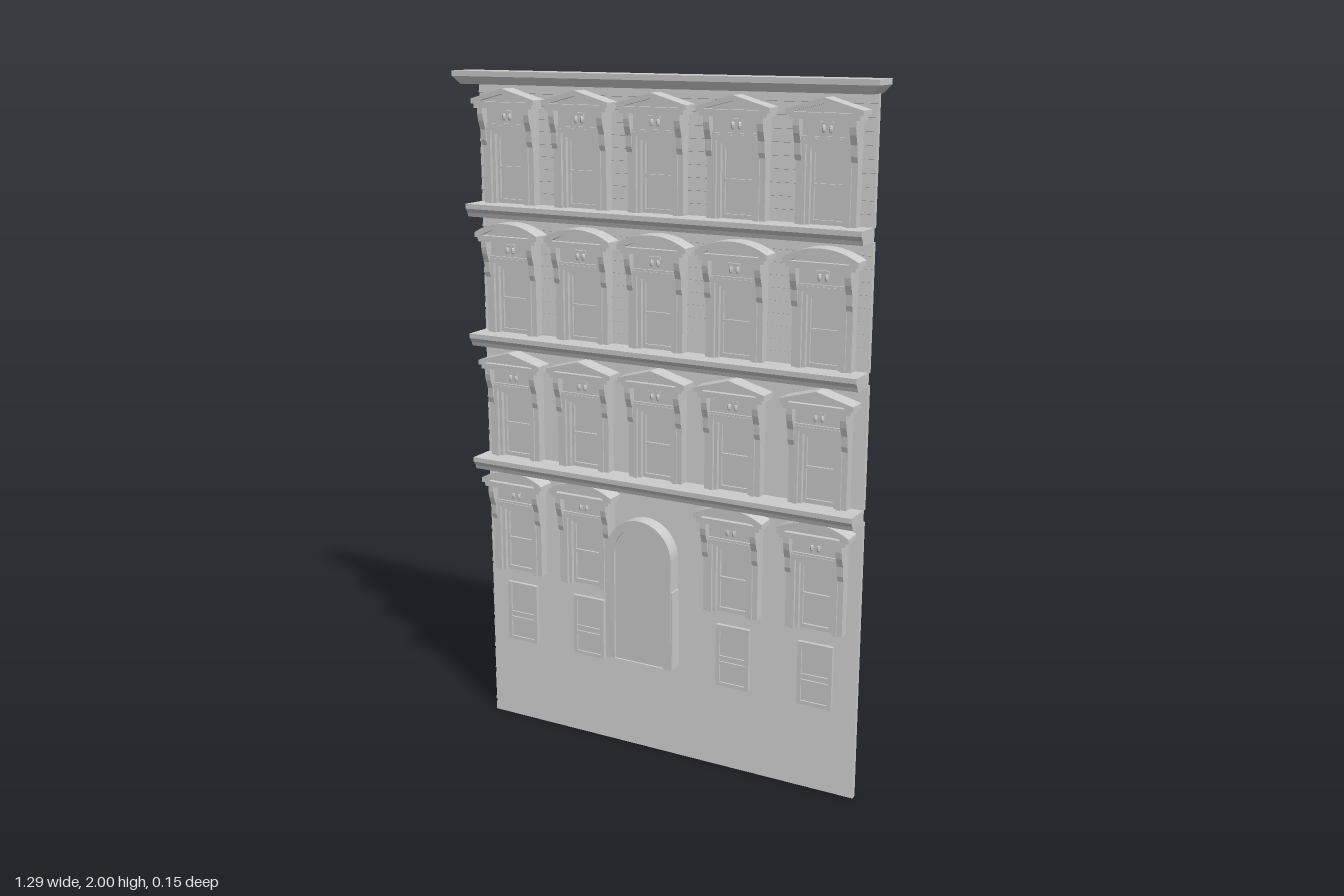
import * as THREE from 'three';

const material = new THREE.MeshStandardMaterial({ color: 0xcccccc, flatShading: true });
const BACK = -0.075, WALL = -0.058, LEFT = -0.613, RIGHT = 0.61;

function add(parent, name, geometry) {
  const mesh = new THREE.Mesh(geometry, material);
  mesh.name = name;
  parent.add(mesh);
  return mesh;
}

// Box given by its limits on each axis
function box(parent, name, x0, x1, y0, y1, z0, z1) {
  const g = new THREE.BoxGeometry(x1 - x0, y1 - y0, z1 - z0);
  g.translate((x0 + x1) / 2, (y0 + y1) / 2, (z0 + z1) / 2);
  return add(parent, name, g);
}

// Side profile of [z, y] points swept along x
function sweepX(parent, name, points, x0, x1) {
  const shape = new THREE.Shape(points.map(([z, y]) => new THREE.Vector2(z, y)));
  const g = new THREE.ExtrudeGeometry(shape, { depth: x1 - x0, bevelEnabled: false });
  g.rotateY(-Math.PI / 2).translate(x1, 0, 0);
  return add(parent, name, g);
}

// Front outline pushed from z0 to z1
function extrudeZ(parent, name, shape, z0, z1) {
  const g = new THREE.ExtrudeGeometry(shape, { depth: z1 - z0, bevelEnabled: false, curveSegments: 20 });
  g.translate(0, 0, z0);
  return add(parent, name, g);
}

// Storey wall with overlapping courses on its face
function wall(parent, y0, y1) {
  const n = Math.round((y1 - y0) / 0.036), h = (y1 - y0) / n;
  const points = [[BACK, y1], [BACK, y0]];
  for (let i = 0; i < n; i++) {
    points.push([WALL, y0 + i * h], [WALL - 0.004, y0 + (i + 0.97) * h]);
  }
  points.push([WALL - 0.004, y1]);
  sweepX(parent, 'storeyWall', points, LEFT, RIGHT);
}

// Pediment outline: straight gable or shallow arc over short vertical ends
function pedimentShape(half, y0, eave, apex, arched, Kind = THREE.Shape) {
  const s = new Kind();
  s.moveTo(-half, y0);
  s.lineTo(half, y0);
  s.lineTo(half, eave);
  if (arched) s.quadraticCurveTo(half * 0.55, apex, 0, apex).quadraticCurveTo(-half * 0.55, apex, -half, eave);
  else s.lineTo(0, apex).lineTo(-half, eave);
  s.closePath();
  return s;
}

function createWindow(arched) {
  const w = new THREE.Group();
  w.name = arched ? 'archedPedimentWindow' : 'gabledPedimentWindow';

  // Sashes and glass
  box(w, 'glass', -0.06, 0.06, 0, 0.215, BACK + 0.01, -0.053);
  box(w, 'upperSashRail', -0.05, 0.05, 0.188, 0.2, -0.055, -0.046);
  box(w, 'meetingRail', -0.05, 0.05, 0.098, 0.106, -0.055, -0.046);
  box(w, 'bottomRail', -0.05, 0.05, 0, 0.012, -0.055, -0.046);
  box(w, 'frameHead', -0.057, 0.057, 0.198, 0.21, -0.06, -0.034);

  // Jambs and scroll brackets on both sides
  for (const s of [-1, 1]) {
    const pair = (name, a, b, ...rest) => box(w, name, Math.min(s * a, s * b), Math.max(s * a, s * b), ...rest);
    pair('sashStile', 0.04, 0.05, 0, 0.2, -0.055, -0.046);
    pair('innerFrame', 0.048, 0.06, 0, 0.205, -0.06, -0.034);
    pair('jamb', 0.058, 0.07, 0, 0.22, -0.06, -0.025);
    pair('pilaster', 0.07, 0.086, 0, 0.22, -0.06, -0.03);
    const x = s * 0.078;
    sweepX(w, 'bracket', [[-0.06, 0.275], [-0.06, 0.165], [-0.026, 0.165], [-0.021, 0.18],
      [-0.019, 0.21], [-0.01, 0.235], [-0.006, 0.255], [-0.006, 0.275]], x - 0.009, x + 0.009);
  }

  // Lintel, frieze and centre ornament
  box(w, 'lintel', -0.07, 0.07, 0.208, 0.222, -0.06, -0.022);
  box(w, 'frieze', -0.07, 0.07, 0.222, 0.275, -0.06, -0.03);
  box(w, 'friezeMoulding', -0.07, 0.07, 0.222, 0.228, -0.04, -0.024);
  box(w, 'ornamentBar', -0.018, 0.018, 0.257, 0.266, -0.035, -0.023);
  for (const x of [-0.01, 0.01]) {
    const drop = add(w, 'ornamentDrop', new THREE.SphereGeometry(0.007, 8, 6));
    drop.scale.set(0.8, 1.7, 0.9);
    drop.position.set(x, 0.248, -0.029);
  }

  // Pediment: rim, recessed field and stepped shelf
  const rim = pedimentShape(0.107, 0.283, 0.297, 0.327, arched);
  rim.holes.push(pedimentShape(0.082, 0.289, 0.291, 0.312, arched, THREE.Path));
  extrudeZ(w, 'pedimentRim', rim, -0.06, -0.003);
  extrudeZ(w, 'pedimentField', pedimentShape(0.095, 0.284, 0.292, 0.316, arched), -0.058, -0.018);
  box(w, 'pedimentShelf', -0.098, 0.098, 0.271, 0.284, -0.06, -0.006);
  return w;
}

function createBasementWindow() {
  const w = new THREE.Group();
  w.name = 'basementWindow';
  box(w, 'glass', -0.052, 0.052, 0, 0.19, BACK + 0.01, -0.054);
  for (const s of [-1, 1]) box(w, 'stile', s * 0.047 - 0.006, s * 0.047 + 0.006, 0, 0.19, -0.06, -0.048);
  for (const [y0, y1] of [[0, 0.011], [0.066, 0.076], [0.086, 0.094], [0.179, 0.19]]) {
    box(w, 'rail', -0.042, 0.042, y0, y1, -0.06, -0.049);
  }
  return w;
}

// Round-headed outline
function archShape(half, y0, spring, Kind = THREE.Shape) {
  const s = new Kind();
  s.moveTo(-half, y0);
  s.lineTo(half, y0);
  s.lineTo(half, spring);
  s.absarc(0, spring, half, 0, Math.PI, false);
  s.closePath();
  return s;
}

function createDoor() {
  const d = new THREE.Group();
  d.name = 'archedDoorway';
  const surround = archShape(0.104, 0.333, 0.664);
  surround.holes.push(archShape(0.08, 0.334, 0.664, THREE.Path));
  extrudeZ(d, 'doorSurround', surround, 0.028, 0.073);
  extrudeZ(d, 'doorPanel', archShape(0.081, 0.334, 0.664), 0.03, 0.066);
  for (const s of [-1, 1]) box(d, 'doorPlinth', s * 0.101 - 0.008, s * 0.101 + 0.008, 0.333, 0.57, 0.029, 0.072);
  d.position.x = -0.014;
  return d;
}

export function createModel() {
  const model = new THREE.Group();
  model.name = 'townhouseFacade';

  // Four storey walls separated by narrow gaps
  for (const [y0, y1] of [[0, 0.825], [0.86, 1.207], [1.24, 1.586], [1.623, 1.972]]) wall(model, y0, y1);

  // String courses filling the gaps
  for (const y of [0.862, 1.243, 1.625]) {
    sweepX(model, 'stringCourse', [[-0.064, y], [-0.064, y - 0.038], [0.012, y - 0.038],
      [0.016, y - 0.026], [0.025, y - 0.014], [0.025, y]], LEFT, RIGHT);
  }

  // Crown cornice, narrowing downwards at the ends and front
  box(model, 'corniceFascia', -0.647, 0.643, 1.985, 2, -0.064, 0.025);
  const crown = new THREE.BoxGeometry(1.29, 0.023, 0.089).translate(-0.002, 1.9745, -0.0195);
  const p = crown.attributes.position;
  for (let i = 0; i < p.count; i++) {
    if (p.getY(i) > 1.975) continue;
    p.setX(i, p.getX(i) * 0.965);
    if (p.getZ(i) > 0) p.setZ(i, 0.014);
  }
  crown.computeVertexNormals();
  add(model, 'corniceCrown', crown);

  // Window grid: pediment styles alternate by storey, the door takes the centre below
  const columns = [-0.497, -0.257, -0.016, 0.228, 0.486];
  [0.495, 0.862, 1.243, 1.625].forEach((y, floor) => {
    columns.forEach((x, c) => {
      if (floor === 0 && c === 2) return;
      const w = createWindow(floor % 2 === 0);
      w.position.set(x, y, 0);
      model.add(w);
    });
  });
  columns.forEach((x, c) => {
    if (c === 2) return;
    const w = createBasementWindow();
    w.position.set(x, 0.26, 0);
    model.add(w);
  });

  model.add(createDoor());
  return model;
}
